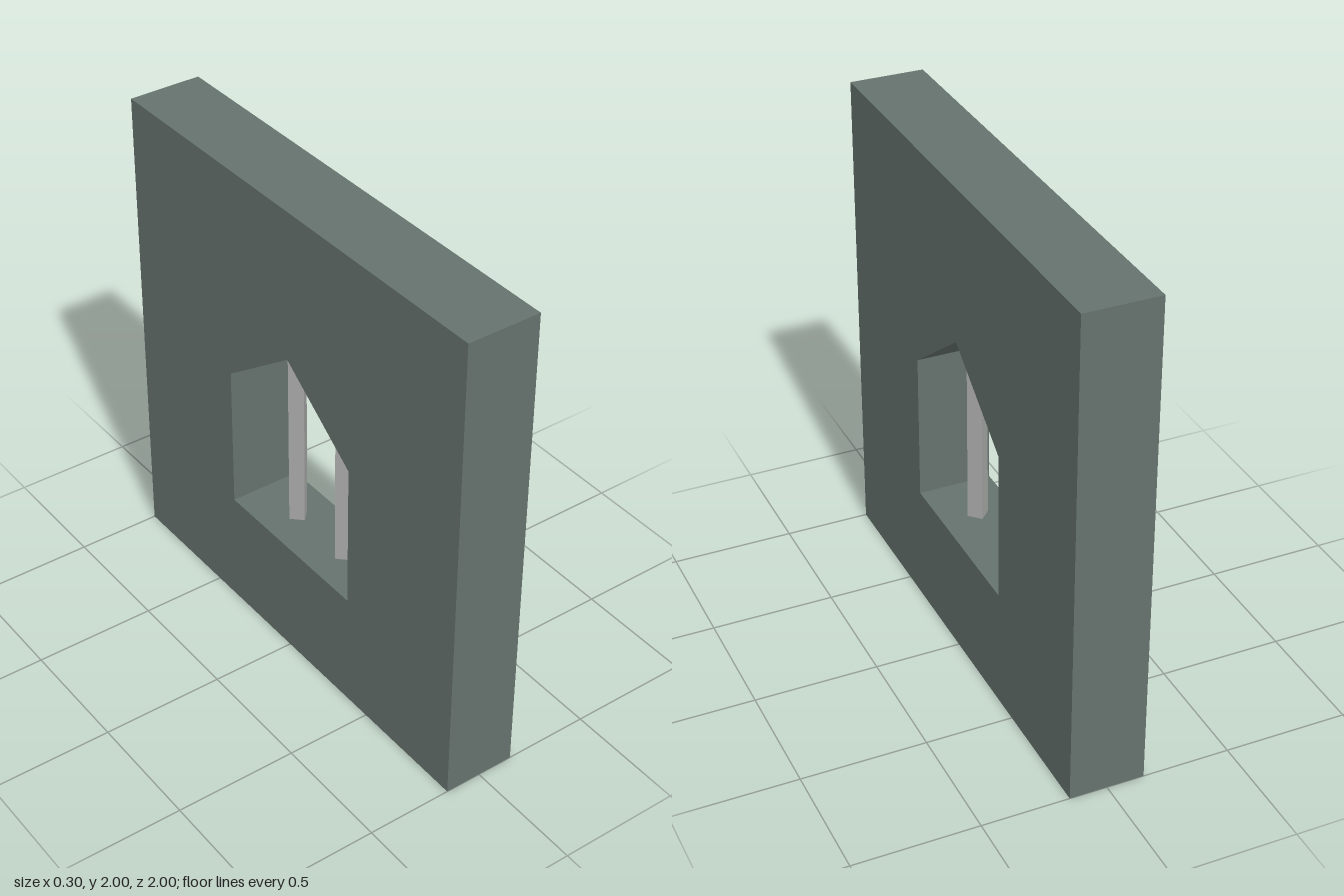
import * as THREE from 'three';

export function createModel() {
  const model = new THREE.Group();
  const stone = new THREE.MeshStandardMaterial({ color: 0x66736e });
  stone.name = 'greyGreenStone';
  const metal = new THREE.MeshStandardMaterial({ color: 0xa6a8a6 });
  metal.name = 'greyMetal';

  // Square wall slab with a gabled window opening
  const thickness = 0.3;
  const points = (list) => list.map(([x, y]) => new THREE.Vector2(x, y));
  const outline = new THREE.Shape(points([[-1, 0], [1, 0], [1, 2], [-1, 2]]));
  outline.holes.push(new THREE.Path(points([
    [-0.375, 0.49], [-0.375, 1.1], [0, 1.375], [0.375, 1.1], [0.375, 0.49],
  ])));
  const wallGeometry = new THREE.ExtrudeGeometry(outline, { depth: thickness, bevelEnabled: false });
  wallGeometry.translate(0, 0, -thickness / 2);
  wallGeometry.rotateY(-Math.PI / 2);
  const wall = new THREE.Mesh(wallGeometry, stone);
  wall.name = 'wall';
  model.add(wall);

  // Two diamond-section bars, their ends sunk into the sill and the gable
  const bottom = 0.48, top = 1.31;
  const barGeometry = new THREE.CylinderGeometry(0.043, 0.043, top - bottom, 4).toNonIndexed();
  barGeometry.computeVertexNormals();
  for (const side of [1, -1]) {
    const bar = new THREE.Mesh(barGeometry, metal);
    bar.name = side > 0 ? 'frontWindowBar' : 'backWindowBar';
    bar.position.set(0, (bottom + top) / 2, side * 0.15);
    model.add(bar);
  }
  return model;
}
